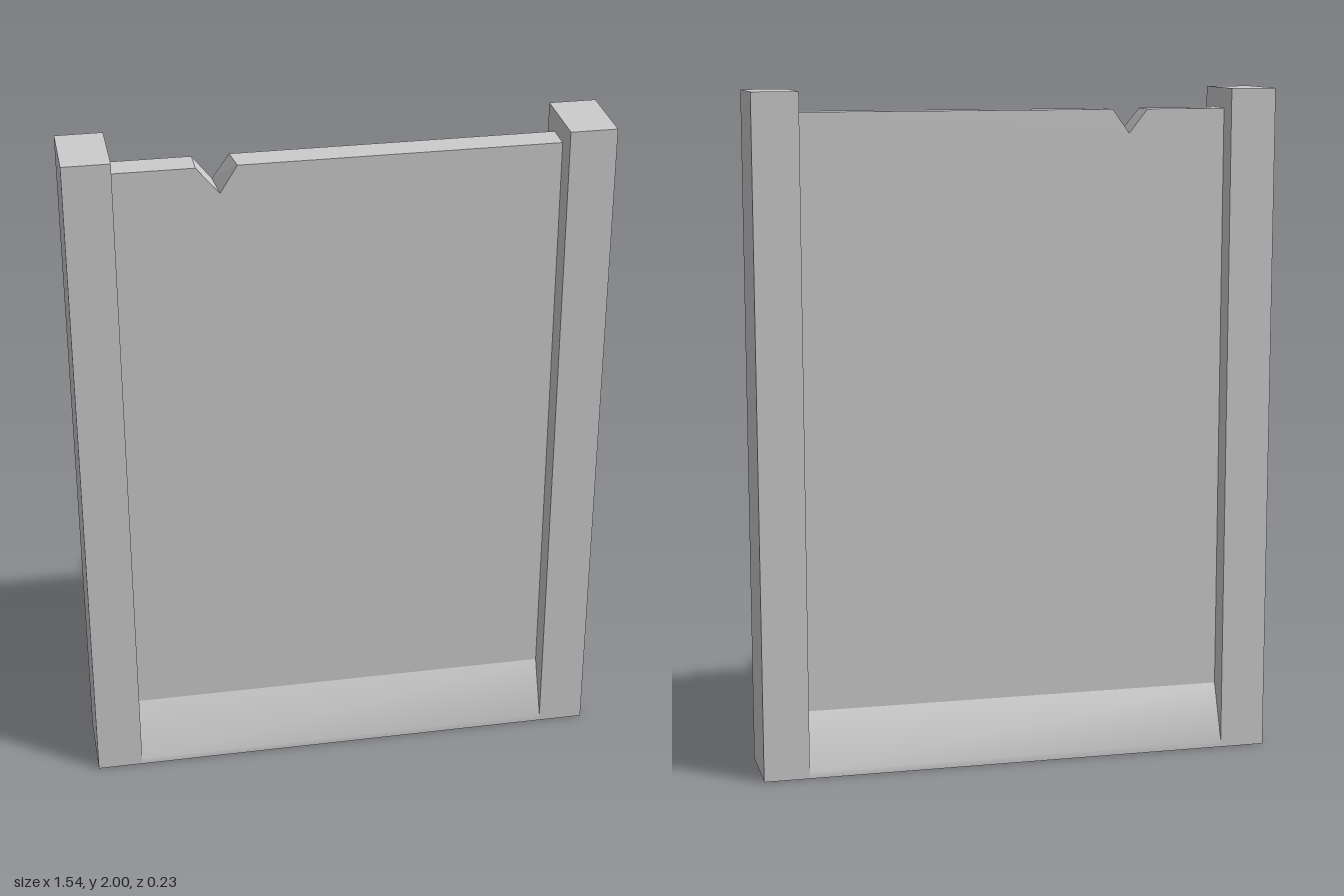
import * as THREE from 'three';
import { toCreasedNormals } from 'three/addons/utils/BufferGeometryUtils.js';

const INNER = 0.635, OUTER = 0.77, HALF_DEPTH = 0.115;
const FRONT = 0.04, BACK = -0.047; // panel faces
const FOOT_TOP = 0.185, LIP = 0.02, PANEL_TOP = 1.94;

const shapeOf = (points) => new THREE.Shape(points.map(([x, y]) => new THREE.Vector2(x, y)));

export function createModel() {
  const model = new THREE.Group();
  const material = new THREE.MeshStandardMaterial({ color: 0xcccccc });
  const add = (name, geometry) => {
    const mesh = new THREE.Mesh(geometry, material);
    mesh.name = name;
    model.add(mesh);
    return mesh;
  };

  // Square posts on both sides
  for (const side of [1, -1]) {
    const post = add(side > 0 ? 'leftPost' : 'rightPost',
      new THREE.BoxGeometry(OUTER - INNER, 2, HALF_DEPTH * 2));
    post.position.set(side * (INNER + OUTER) / 2, 1, 0);
  }

  // Panel with a chipped notch in its top edge
  const panel = new THREE.ExtrudeGeometry(shapeOf([
    [-INNER, FOOT_TOP], [INNER, FOOT_TOP], [INNER, PANEL_TOP],
    [-0.295, PANEL_TOP], [-0.345, 1.87], [-0.4, PANEL_TOP], [-INNER, PANEL_TOP],
  ]), { depth: FRONT - BACK, bevelEnabled: false });
  panel.translate(0, 0, BACK);
  // The notch runs slightly askew from back to front
  const p = panel.attributes.position;
  for (let i = 0; i < p.count; i++) {
    if (p.getZ(i) > 0 && p.getX(i) < -0.28 && p.getX(i) > -0.36) {
      p.setX(i, p.getX(i) + 0.011);
      if (p.getY(i) < 1.9) p.setY(i, 1.86);
    }
  }
  panel.computeVertexNormals();
  add('notchedPanel', panel);

  // Sloped foot, flaring to the depth of the posts at the ground
  const foot = new THREE.ExtrudeGeometry(shapeOf([
    [-HALF_DEPTH, 0], [HALF_DEPTH, 0], [HALF_DEPTH, LIP],
    [-BACK, FOOT_TOP], [-FRONT, FOOT_TOP], [-HALF_DEPTH, LIP],
  ]), { depth: INNER * 2, bevelEnabled: false });
  foot.translate(0, 0, -INNER);
  foot.rotateY(Math.PI / 2);
  add('slopedFoot', toCreasedNormals(foot, Math.PI / 6));

  return model;
}
